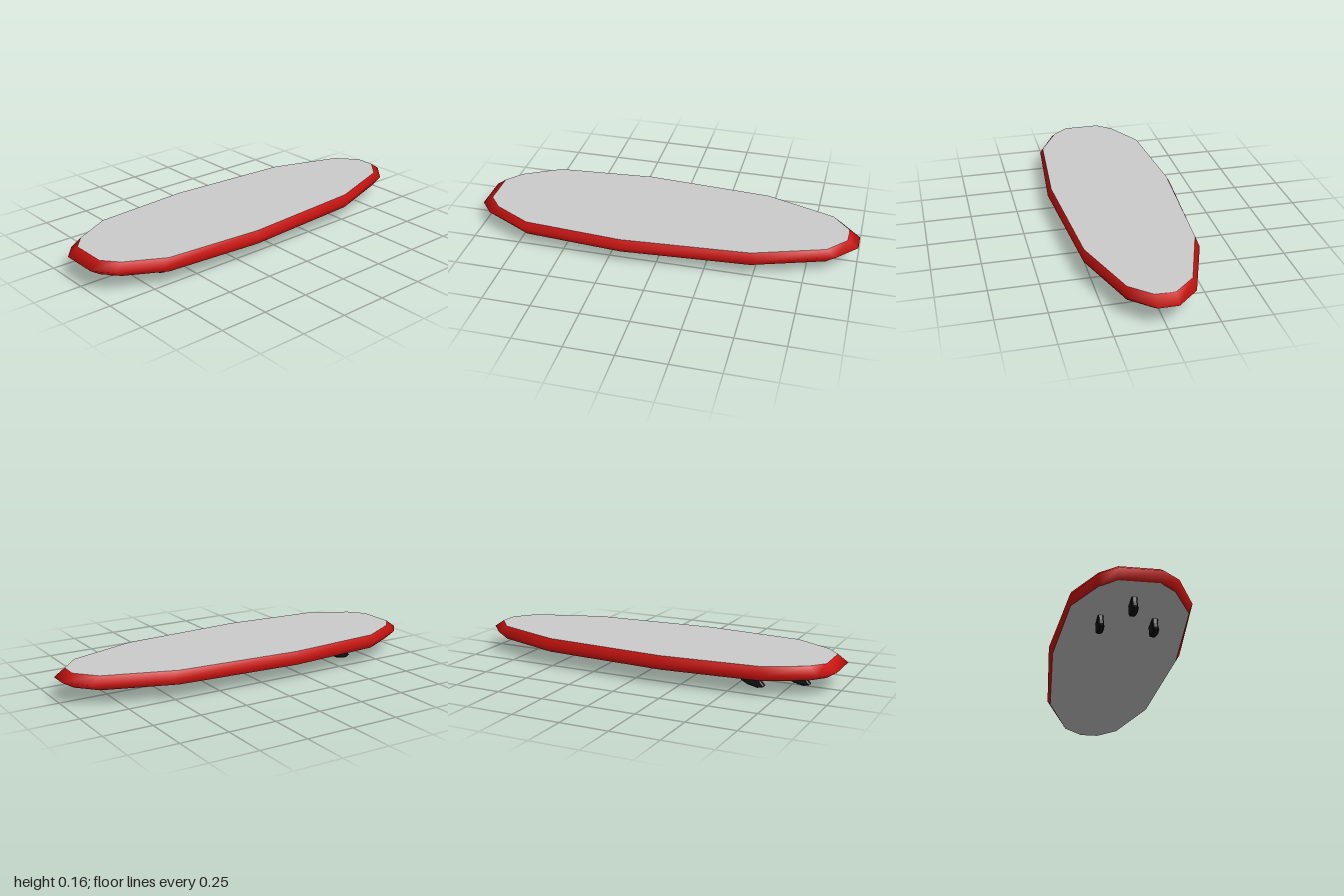
import * as THREE from 'three';

// Half outlines [x, z] from nose to tail: widest line and the deck edge
const RAIL = [[0.05, -1], [0.16, -0.9], [0.29, -0.53], [0.34, 0.17], [0.29, 0.72], [0.185, 0.93], [0.1, 1]];
const EDGE = [[0.05, -0.943], [0.155, -0.85], [0.277, -0.49], [0.32, 0.17], [0.28, 0.685], [0.175, 0.88], [0.095, 0.947]];
const BOTTOM = 0.085, MIDDLE = 0.119, TOP = 0.157;

const mirrored = half => [...half, ...half.map(([x, z]) => [-x, z]).reverse()];

function addMesh(parent, name, geometry, material) {
  const mesh = new THREE.Mesh(geometry, material);
  mesh.name = name;
  parent.add(mesh);
  return mesh;
}

// Smooth band joining bottom edge, widest line and top edge
function railGeometry() {
  const rings = [[EDGE, BOTTOM], [RAIL, MIDDLE], [EDGE, TOP]];
  const n = RAIL.length * 2;
  const positions = [], indices = [];
  for (const [half, y] of rings) for (const [x, z] of mirrored(half)) positions.push(x, y, z);
  for (let r = 0; r < rings.length - 1; r++) {
    for (let i = 0; i < n; i++) {
      const a = r * n + i, b = r * n + (i + 1) % n;
      indices.push(a, a + n, b, b, a + n, b + n);
    }
  }
  const geometry = new THREE.BufferGeometry();
  geometry.setAttribute('position', new THREE.Float32BufferAttribute(positions, 3));
  geometry.setIndex(indices);
  geometry.computeVertexNormals();
  return geometry;
}

// Flat panel facing up (dir = 1) or down (dir = -1)
function panelGeometry(dir, y) {
  const shape = new THREE.Shape(mirrored(EDGE).map(([x, z]) => new THREE.Vector2(x, -dir * z)));
  return new THREE.ShapeGeometry(shape).rotateX(-dir * Math.PI / 2).translate(0, y, 0);
}

// Swept fin profile in (z, y), with chamfered sides
function finGeometry() {
  const profile = [[0, 0.095], [0.004, 0.06], [0.014, 0.03], [0.05, 0.012], [0.1, 0.001],
    [0.128, 0.006], [0.138, 0.014], [0.118, 0.035], [0.107, 0.06], [0.103, 0.095]];
  const depth = 0.016, bevel = 0.006;
  return new THREE.ExtrudeGeometry(new THREE.Shape(profile.map(p => new THREE.Vector2(...p))), {
    depth, bevelEnabled: true, bevelSegments: 1, bevelSize: bevel, bevelThickness: bevel, bevelOffset: -bevel,
  }).translate(0, 0, -depth / 2).rotateY(-Math.PI / 2);
}

export function createModel() {
  const model = new THREE.Group();
  model.name = 'surfboard';
  const grey = new THREE.MeshStandardMaterial({ color: 0xcccccc });
  const red = new THREE.MeshStandardMaterial({ color: 0xcc1410 });
  const black = new THREE.MeshStandardMaterial({ color: 0x111214 });

  addMesh(model, 'rail', railGeometry(), red);
  addMesh(model, 'deck', panelGeometry(1, TOP), grey);
  addMesh(model, 'underside', panelGeometry(-1, BOTTOM), grey);

  // Two side fins and one centre fin nearer the tail
  const fin = finGeometry();
  for (const [name, x, z] of [['leftFin', 0.13, 0.513], ['rightFin', -0.13, 0.513], ['centreFin', 0, 0.706]]) {
    addMesh(model, name, fin, black).position.set(x, 0, z);
  }
  return model;
}
